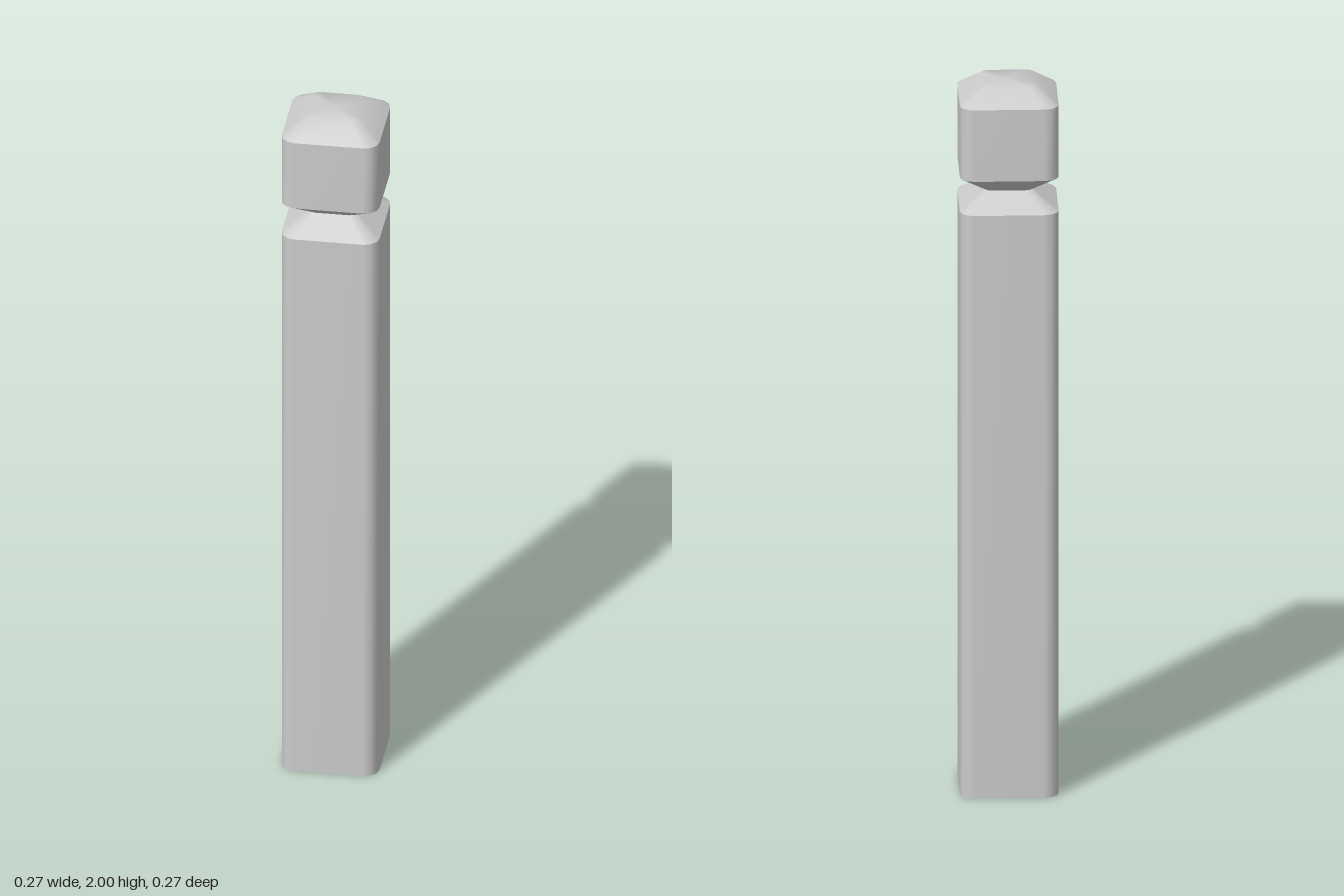
import * as THREE from 'three';

const HALF = 0.133, RADIUS = 0.04, CORNER_STEPS = 3;

// Outline of a rounded square, scaled to the given half width
function ring(half) {
  const s = half / HALF, c = HALF - RADIUS, pts = [];
  for (let q = 0; q < 4; q++) {
    const mid = Math.PI / 4 + q * Math.PI / 2;
    for (let i = 0; i <= CORNER_STEPS; i++) {
      const a = (q + i / CORNER_STEPS) * Math.PI / 2;
      pts.push([
        s * (Math.sign(Math.cos(mid)) * c + RADIUS * Math.cos(a)),
        s * (Math.sign(Math.sin(mid)) * c + RADIUS * Math.sin(a)),
      ]);
    }
  }
  return pts;
}

// Skin over [y, halfWidth] sections, smooth within one skin; a zero width closes it
function skin(name, sections, material) {
  const pos = [], idx = [], n = 4 * (CORNER_STEPS + 1);
  for (const [y, half] of sections) for (const [x, z] of ring(half)) pos.push(x, y, z);
  for (let r = 0; r < sections.length - 1; r++) {
    for (let i = 0; i < n; i++) {
      const a = r * n + i, b = r * n + (i + 1) % n;
      if (sections[r][1] > 0) idx.push(a, a + n, b);
      if (sections[r + 1][1] > 0) idx.push(b, a + n, b + n);
    }
  }
  const geo = new THREE.BufferGeometry();
  geo.setAttribute('position', new THREE.Float32BufferAttribute(pos, 3));
  geo.setIndex(idx);
  geo.computeVertexNormals();
  const mesh = new THREE.Mesh(geo, material);
  mesh.name = name;
  return mesh;
}

export function createModel() {
  const group = new THREE.Group();
  group.name = 'bollard';
  const mat = new THREE.MeshStandardMaterial({ color: 0xcccccc });
  const neck = 0.064, top = 0.072;

  // Separate skins keep the horizontal edges sharp
  const parts = {
    base: [[0, 0], [0, HALF]],
    shaft: [[0, HALF], [1.655, HALF]],
    shoulder: [[1.655, HALF], [1.703, neck]],
    headUnderside: [[1.703, neck], [1.752, HALF]],
    head: [[1.752, HALF], [1.955, HALF]],
    cap: [[1.955, HALF], [2, top], [2, 0]],
  };
  for (const [name, sections] of Object.entries(parts)) group.add(skin(name, sections, mat));
  return group;
}
